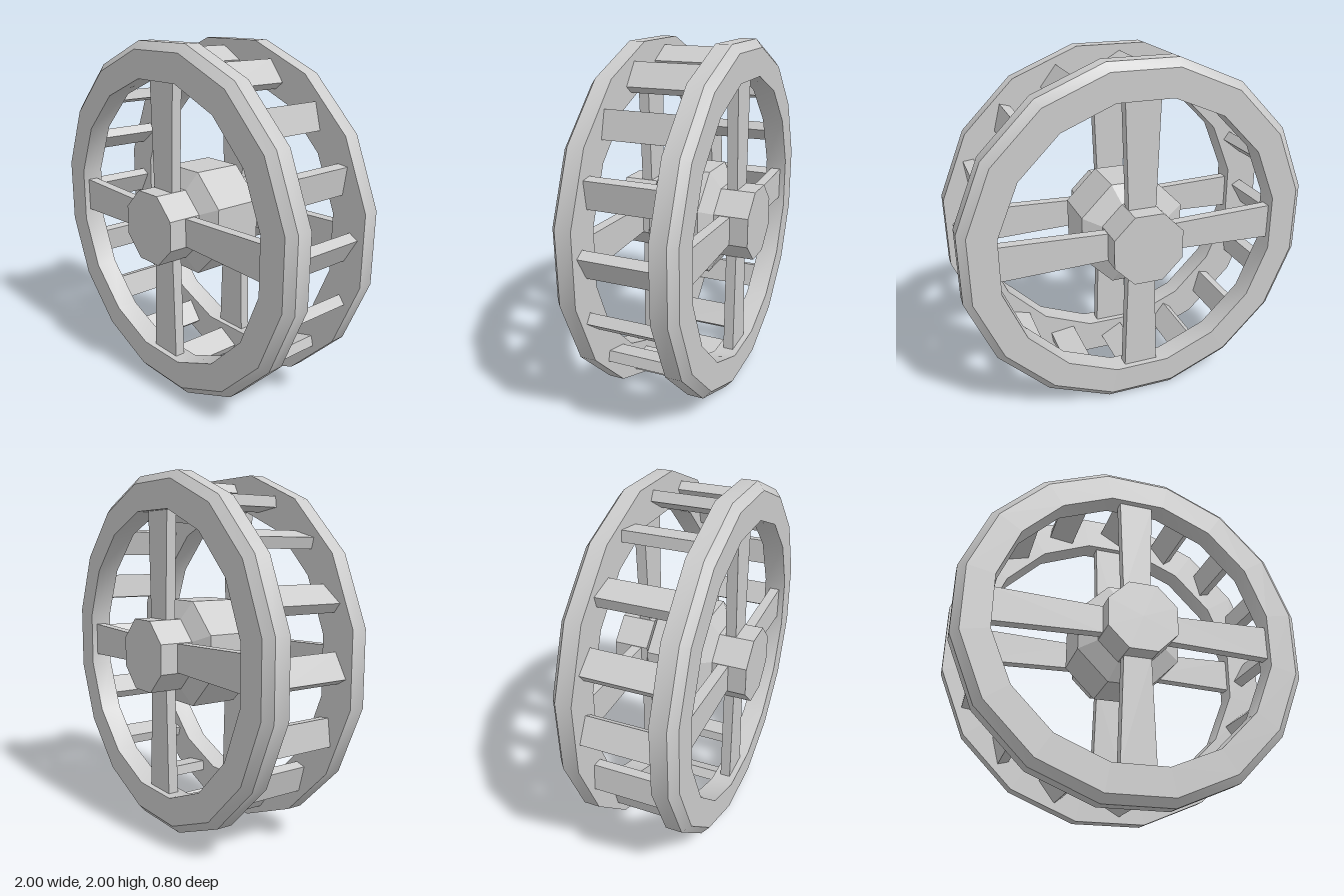
import * as THREE from 'three';
import { toCreasedNormals } from 'three/addons/utils/BufferGeometryUtils.js';

const material = new THREE.MeshStandardMaterial({ color: 0xcccccc, side: THREE.DoubleSide });

function add(parent, name, geometry) {
  const mesh = new THREE.Mesh(geometry, material);
  mesh.name = name;
  parent.add(mesh);
  return mesh;
}

// Polygonal turning around z: profile is [distance to flat side, z]
function turned(profile, sides, crease) {
  const k = 1 / Math.cos(Math.PI / sides);
  const points = profile.map(([r, z]) => new THREE.Vector2(r * k, z));
  const geometry = new THREE.LatheGeometry(points, sides, Math.PI / sides);
  geometry.rotateX(Math.PI / 2);
  return toCreasedNormals(geometry, crease);
}

export function createModel() {
  const model = new THREE.Group();
  model.name = 'wheel';
  const wheel = new THREE.Group();
  wheel.name = 'wheelBody';
  wheel.position.y = 1;
  model.add(wheel);

  // Octagonal hub drum with an axle stub on both ends
  add(wheel, 'hub', turned([
    [0, -0.4], [0.2, -0.4], [0.2, -0.2], [0.3, -0.145],
    [0.3, 0.145], [0.2, 0.2], [0.2, 0.4], [0, 0.4],
  ], 8, 0.3));

  // Sixteen-sided rim, chamfered on its outward edge
  const rim = turned([
    [0.8, 0.2], [1, 0.2], [1, 0.29], [0.955, 0.33], [0.8, 0.33], [0.8, 0.2],
  ], 16, 0.5);

  // Spoke widening towards the rim
  const outline = new THREE.Shape([
    new THREE.Vector2(-0.08, 0.19), new THREE.Vector2(0.08, 0.19),
    new THREE.Vector2(0.1, 0.805), new THREE.Vector2(-0.1, 0.805),
  ]);
  const spoke = new THREE.ExtrudeGeometry(outline, { depth: 0.06, bevelEnabled: false });
  spoke.translate(0, 0, 0.235);

  // Front and back halves, each with a rim and four spokes
  for (const [name, turn] of [['frontSide', 0], ['backSide', Math.PI]]) {
    const half = new THREE.Group();
    half.name = name;
    half.rotation.y = turn;
    add(half, 'rim', rim);
    for (let i = 0; i < 4; i++) add(half, 'spoke', spoke).rotation.z = i * Math.PI / 2;
    wheel.add(half);
  }

  // Tilted rungs joining the two rims
  const rung = new THREE.BoxGeometry(0.06, 0.15, 0.41);
  for (let i = 0; i < 16; i++) {
    const angle = i * Math.PI / 8;
    const mesh = add(wheel, 'rung', rung);
    mesh.position.set(0.9 * Math.cos(angle), 0.9 * Math.sin(angle), 0);
    mesh.rotation.z = angle - Math.PI / 6;
  }
  return model;
}
